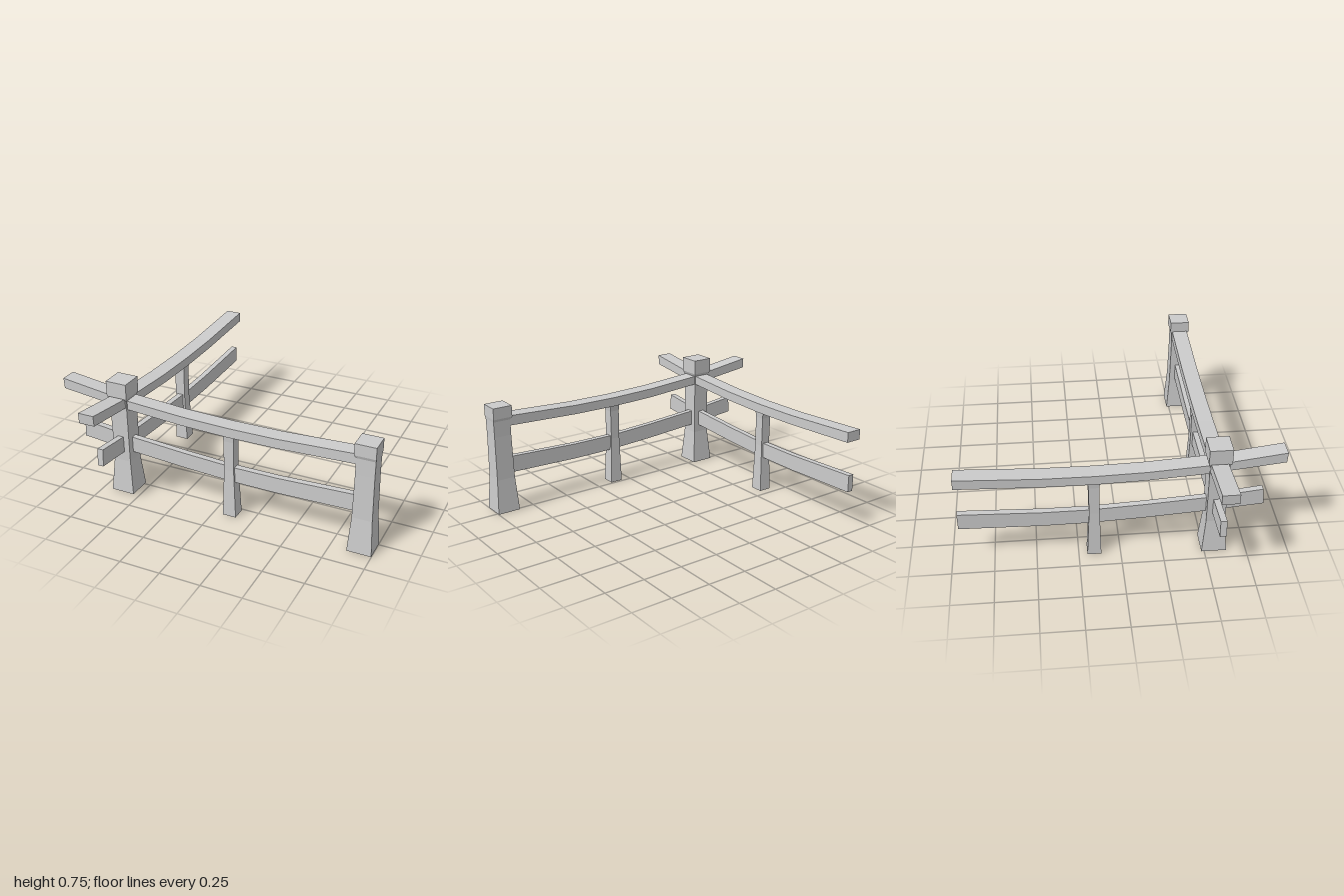
import * as THREE from 'three';

const material = new THREE.MeshStandardMaterial({ color: 0xcccccc, flatShading: true });

// Sagging beam: stations are [x, bottomX, top, bottom] along its length
function rail(name, stations, thickness) {
  const shape = new THREE.Shape([
    ...stations.map(([x, , top]) => new THREE.Vector2(x, top)),
    ...stations.map(([, bx, , bottom]) => new THREE.Vector2(bx, bottom)).reverse(),
  ]);
  const geometry = new THREE.ExtrudeGeometry(shape, { depth: thickness, bevelEnabled: false });
  geometry.translate(0, 0, -thickness / 2);
  const mesh = new THREE.Mesh(geometry, material);
  mesh.name = name;
  return mesh;
}

// Square post: rings are [y, xMin, xMax, zMin, zMax] from the ground up
function post(name, rings) {
  const n = rings.length - 1;
  const geometry = new THREE.BoxGeometry(1, 1, 1, 1, n, 1);
  const p = geometry.attributes.position;
  for (let i = 0; i < p.count; i++) {
    const [y, x0, x1, z0, z1] = rings[Math.round((p.getY(i) + 0.5) * n)];
    p.setXYZ(i, p.getX(i) < 0 ? x0 : x1, y, p.getZ(i) < 0 ? z0 : z1);
  }
  geometry.computeVertexNormals();
  const mesh = new THREE.Mesh(geometry, material);
  mesh.name = name;
  return mesh;
}

// One run of fence along x: two rails and a slim middle post
function fencePanel(name) {
  const panel = new THREE.Group();
  panel.name = name;
  panel.add(
    rail('topRail', [
      [-1, -0.997, 0.69, 0.625],
      [-0.55, -0.55, 0.63, 0.573],
      [-0.2, -0.2, 0.607, 0.549],
      [0.1, 0.1, 0.599, 0.54],
      [0.4, 0.4, 0.601, 0.542],
      [0.89, 0.89, 0.623, 0.56],
    ], 0.1),
    rail('lowerRail', [
      [-0.89, -0.9, 0.41, 0.303],
      [-0.55, -0.55, 0.37, 0.27],
      [-0.2, -0.2, 0.345, 0.246],
      [0.13, 0.13, 0.328, 0.23],
      [0.4, 0.4, 0.328, 0.228],
      [0.89, 0.89, 0.346, 0.24],
    ], 0.038),
    post('middlePost', [
      [0, 0.061, 0.144, -0.042, 0.042],
      [0.31, 0.068, 0.13, -0.032, 0.032],
      [0.5, 0.068, 0.132, -0.033, 0.033],
      [0.56, 0.064, 0.139, -0.038, 0.038],
    ]),
  );
  return panel;
}

export function createModel() {
  const model = new THREE.Group();
  model.name = 'cornerFence';

  // Two identical runs crossing at the corner post
  const frontPanel = fencePanel('frontPanel');
  frontPanel.position.z = 0.555;
  const sidePanel = fencePanel('sidePanel');
  sidePanel.rotation.y = Math.PI / 2;
  sidePanel.position.set(-0.613, 0, -0.055);

  // Flared posts with a slightly wider block at the head
  const cornerPost = post('cornerPost', [
    [0, -0.69, -0.54, 0.483, 0.633],
    [0.22, -0.668, -0.557, 0.502, 0.615],
    [0.4, -0.668, -0.557, 0.502, 0.615],
    [0.63, -0.669, -0.556, 0.501, 0.616],
    [0.65, -0.681, -0.547, 0.491, 0.626],
    [0.745, -0.681, -0.547, 0.491, 0.626],
  ]);
  const endPost = post('endPost', [
    [0, 0.852, 0.999, 0.485, 0.629],
    [0.22, 0.866, 0.986, 0.5, 0.611],
    [0.5, 0.871, 0.983, 0.504, 0.609],
    [0.6, 0.871, 0.984, 0.503, 0.61],
    [0.618, 0.861, 0.986, 0.493, 0.617],
    [0.69, 0.861, 0.986, 0.493, 0.617],
  ]);

  model.add(frontPanel, sidePanel, cornerPost, endPost);
  return model;
}
